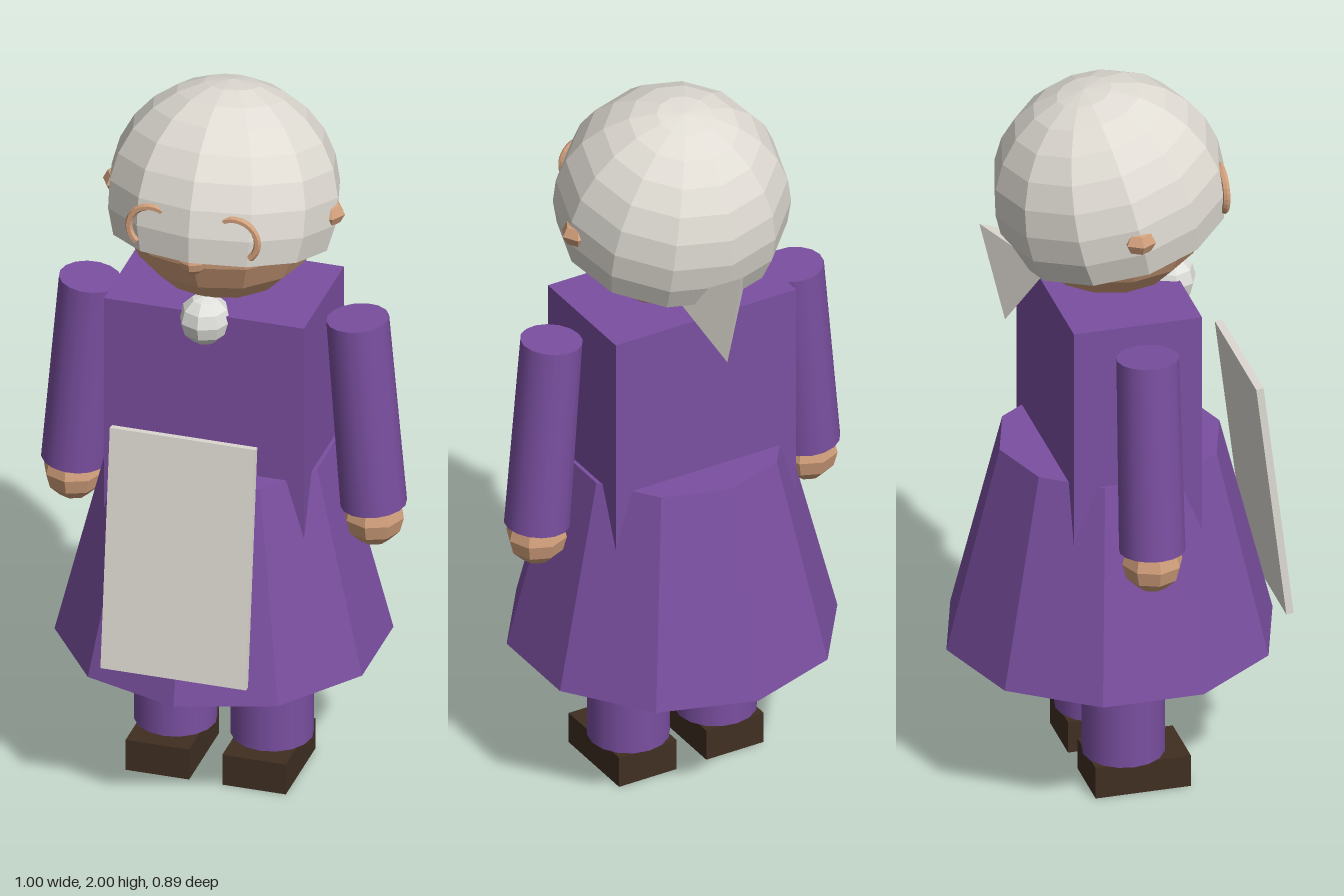
import * as THREE from 'three';
import { ConvexGeometry } from 'three/addons/geometries/ConvexGeometry.js';

const mat = (name, color, opts = {}) => {
  const m = new THREE.MeshStandardMaterial({ color, ...opts });
  m.name = name;
  return m;
};

export function createModel() {
  const group = new THREE.Group();
  const purple = mat('purple cloth', 0x7a4fa0);
  const purpleFlat = purple.clone();
  purpleFlat.flatShading = true;
  const linen = mat('linen', 0xe0dcd4, { flatShading: true, side: THREE.DoubleSide });
  const white = mat('soft white', 0xe0e0dc, { flatShading: true });
  const skin = mat('skin', 0xd2a07c, { flatShading: true });
  const leather = mat('dark leather', 0x402f22);

  const add = (name, geometry, material, x, y, z) => {
    const mesh = new THREE.Mesh(geometry, material);
    mesh.name = name;
    mesh.position.set(x, y, z);
    group.add(mesh);
    return mesh;
  };

  // Body and ten-sided skirt
  add('torso', new THREE.BoxGeometry(0.55, 0.72, 0.35), purple, 0, 1.06, 0);
  add('skirt', new THREE.CylinderGeometry(0.3, 0.445, 0.575, 10), purpleFlat, 0, 0.6675, 0);

  // Apron panel leaning along the skirt
  add('apron', new THREE.BoxGeometry(0.4, 0.685, 0.02), linen, 0, 0.802, 0.395).rotation.x = -0.12;

  // Head with a tilted, open headscarf
  add('head', new THREE.SphereGeometry(0.28, 12, 10), skin, 0, 1.69, 0);
  const scarf = new THREE.SphereGeometry(0.313, 12, 8, 0, Math.PI * 2, 0, Math.PI * 0.62);
  add('headscarf', scarf, linen, 0, 1.69, 0).rotation.x = -0.23;

  // Pointed scarf tail at the back of the head
  const tail = new ConvexGeometry([
    new THREE.Vector3(0, 1.635, -0.355),
    new THREE.Vector3(0, 1.34, -0.285),
    new THREE.Vector3(0.108, 1.53, -0.2),
    new THREE.Vector3(-0.108, 1.53, -0.2),
  ]);
  add('scarfTail', tail, linen, 0, 0, 0);

  // Scarf knot under the chin, and the nose
  add('chinKnot', new THREE.SphereGeometry(0.07, 8, 6), white, 0, 1.4, 0.165);
  add('nose', new THREE.SphereGeometry(0.042, 8, 6), skin, 0, 1.635, 0.268);

  // Paired parts
  for (const [side, s] of [['left', 1], ['right', -1]]) {
    // Smiling closed eye: an arch partly sunk into the scarf
    const eye = new THREE.TorusGeometry(0.062, 0.01, 6, 14, Math.PI * 0.95);
    eye.rotateZ(-0.85);
    if (s < 0) eye.rotateY(Math.PI);
    add(side + 'Eye', eye, skin, s * 0.115, 1.71, 0.27);

    add(side + 'Ear', new THREE.SphereGeometry(0.045, 6, 4), skin, s * 0.288, 1.68, 0).scale.y = 0.8;

    const arm = new THREE.CylinderGeometry(0.083, 0.088, 0.55, 16);
    add(side + 'Arm', arm, purple, s * 0.39, 1.1, 0).rotation.z = s * 0.08;
    add(side + 'Hand', new THREE.SphereGeometry(0.082, 8, 6), skin, s * 0.413, 0.792, 0);

    add(side + 'Leg', new THREE.CylinderGeometry(0.11, 0.11, 0.36, 16), purple, s * 0.133, 0.27, 0);
    add(side + 'Shoe', new THREE.BoxGeometry(0.175, 0.09, 0.26), leather, s * 0.133, 0.045, 0.03);
  }

  return group;
}
